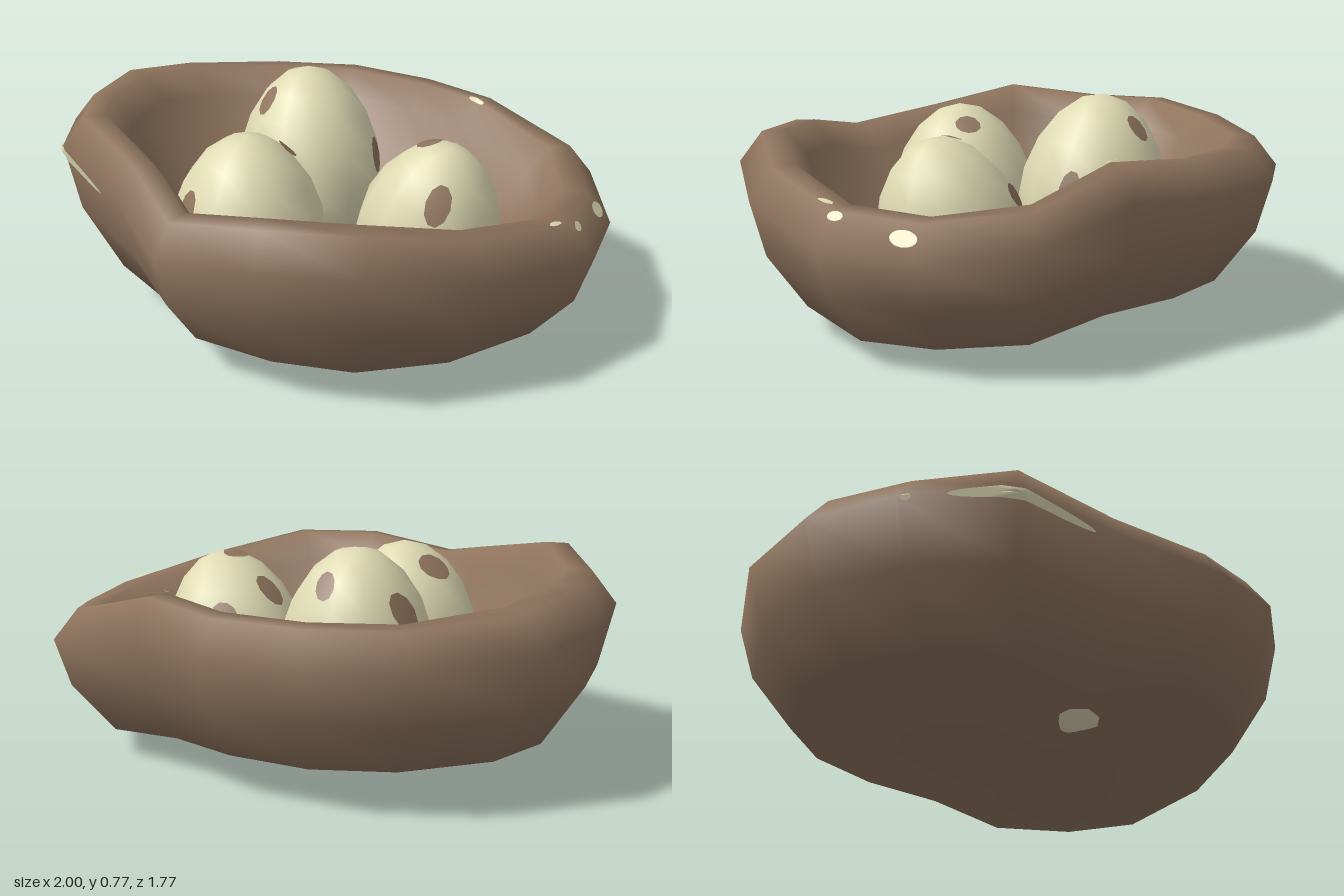
import * as THREE from 'three';
import { mergeVertices } from 'three/addons/utils/BufferGeometryUtils.js';

function paint(name, color) {
  const material = new THREE.MeshStandardMaterial({ color });
  material.name = name;
  return material;
}
const bark = paint('nest brown', 0x8f745d);
const shell = paint('egg cream', 0xdedab3);

// Nest outline seen from above: x, z and rim height
const OUTLINE = [
  [1.0, 0.09, 0.51], [0.79, 0.51, 0.58], [0.5, 0.79, 0.65], [0.18, 0.88, 0.65],
  [-0.18, 0.85, 0.6], [-0.46, 0.62, 0.66], [-0.8, 0.42, 0.72], [-0.97, 0.1, 0.68],
  [-1.0, -0.22, 0.68], [-0.89, -0.52, 0.64], [-0.59, -0.79, 0.61], [-0.26, -0.89, 0.61],
  [0.1, -0.85, 0.61], [0.43, -0.69, 0.625], [0.81, -0.56, 0.535], [0.97, -0.24, 0.495],
];
const N = OUTLINE.length;

// Cross-section rings: scale of the outline and height (x and rim height given)
const base = (x) => 0.14 - 0.07 * Math.max(0, x) ** 2;
const RINGS = [
  [0, () => 0],
  [0.8, base],
  [0.945, (x, rim) => (base(x) + rim - 0.11) / 2],
  [1, (x, rim) => rim - 0.11],
  [0.915, (x, rim) => rim - 0.005],
  [0.83, (x, rim) => rim],
  [0.75, (x, rim) => rim - 0.09],
  [0.64, () => 0.34],
  [0.43, () => 0.2],
  [0, () => 0.16],
];

function ringPoint(i, j) {
  const [x, z, rim] = OUTLINE[((i % N) + N) % N];
  const [s, height] = RINGS[j];
  return new THREE.Vector3(x * s, height(x, rim), z * s);
}

// Point on the nest faces at a fractional outline position u and ring v
function surfacePoint(u, v) {
  const i = Math.floor(u), j = Math.floor(v);
  const fu = u - i, fv = v - j;
  const a = ringPoint(i, j), d = ringPoint(i + 1, j + 1);
  const corner = fu > fv ? ringPoint(i + 1, j) : ringPoint(i, j + 1);
  const most = Math.max(fu, fv), least = Math.min(fu, fv);
  return a.multiplyScalar(1 - most).addScaledVector(corner, most - least).addScaledVector(d, least);
}

function makeNest() {
  const pos = [], index = [];
  RINGS.forEach((_, j) => {
    for (let i = 0; i < N; i++) pos.push(...ringPoint(i, j).toArray());
  });
  const last = RINGS.length - 2;
  for (let j = 0; j <= last; j++) {
    for (let i = 0; i < N; i++) {
      const k = (i + 1) % N;
      const a = j * N + i, b = j * N + k, c = a + N, d = b + N;
      if (j < last) index.push(a, c, d);
      else index.push(a, c, b);
      if (j > 0 && j < last) index.push(a, d, b);
    }
  }
  const geo = new THREE.BufferGeometry();
  geo.setAttribute('position', new THREE.Float32BufferAttribute(pos, 3));
  geo.setIndex(index);
  const merged = mergeVertices(geo);
  merged.computeVertexNormals();
  const mesh = new THREE.Mesh(merged, bark);
  mesh.name = 'nest';
  return mesh;
}

// Move every vertex by a rule and smooth the result
function reshape(geo, rule) {
  const p = geo.attributes.position;
  for (let n = 0; n < p.count; n++) {
    const q = rule(new THREE.Vector3().fromBufferAttribute(p, n));
    p.setXYZ(n, q.x, q.y, q.z);
  }
  geo.deleteAttribute('uv');
  geo.deleteAttribute('normal');
  const merged = mergeVertices(geo);
  merged.computeVertexNormals();
  return merged;
}

// Thin pale fleck lying on the nest surface
function makeFleck([u, v, du, dv, slant]) {
  const geo = reshape(new THREE.RingGeometry(0.01, 1, 20, 5), (p) => {
    const vv = v + p.y * dv + p.x * slant;
    const q = surfacePoint(u - p.x * du, vv);
    const out = new THREE.Vector3(q.x, 0, q.z).normalize();
    out.y = Math.max(0, vv - 3);
    return q.addScaledVector(out.normalize(), 0.009);
  });
  const mesh = new THREE.Mesh(geo, shell);
  mesh.name = 'fleck';
  return mesh;
}

// u, v, half width, half height, slant: a long streak, then small flecks by the rim
const FLECKS = [
  [5.93, 2.9, 0.66, 0.085, -0.06],
  [6.93, 2.97, 0.05, 0.05, 0],
  [13.0, 5.05, 0.11, 0.1, 0],
  [15.15, 3.57, 0.15, 0.2, 0],
  [15.93, 3.85, 0.08, 0.12, 0],
  [16.15, 4.2, 0.08, 0.15, 0.1],
];

// Egg with a narrower top and painted spots, each [dx, dz, size]
function makeEgg({ at, radius, half, tilt, spots }) {
  const egg = new THREE.Group();
  egg.name = 'egg';
  const shape = (d, grow) => {
    const w = radius * (1 - 0.12 * d.y) * grow;
    return d.set(d.x * w, d.y * half * grow, d.z * w);
  };
  const body = new THREE.Mesh(reshape(new THREE.SphereGeometry(1, 12, 9), (d) => shape(d, 1)), shell);
  body.name = 'eggShell';
  egg.add(body);

  const front = new THREE.Vector3(0, 0, 1);
  for (const [dx, dz, size] of spots) {
    const x = dx / radius, z = dz / radius;
    const c = new THREE.Vector3(x, Math.sqrt(Math.max(0.002, 1 - x * x - z * z)), z).normalize();
    const turn = new THREE.Quaternion().setFromUnitVectors(front, c);
    const spot = new THREE.Mesh(reshape(new THREE.CircleGeometry(size, 10), (d) =>
      shape(d.set(d.x * 0.85, d.y * 1.15, 1).applyQuaternion(turn).normalize(), 1.012)), bark);
    spot.name = 'eggSpot';
    egg.add(spot);
  }
  egg.position.set(...at);
  egg.rotation.set(tilt[0], 0, tilt[1]);
  return egg;
}

const EGGS = [
  { at: [-0.18, 0.42, -0.255], radius: 0.265, half: 0.35, tilt: [-0.09, 0.05],
    spots: [[-0.21, -0.09, 0.21], [0.05, -0.175, 0.16], [-0.1, 0.16, 0.17], [0.262, -0.03, 0.17]] },
  { at: [-0.16, 0.385, 0.275], radius: 0.265, half: 0.32, tilt: [0.03, -0.03],
    spots: [[-0.155, -0.085, 0.23], [0.115, -0.105, 0.17], [-0.122, 0.215, 0.18]] },
  { at: [0.395, 0.365, -0.012], radius: 0.25, half: 0.315, tilt: [0.1, -0.25],
    spots: [[-0.215, -0.07, 0.2], [-0.09, -0.03, 0.2], [0.055, 0.185, 0.22], [-0.09, -0.225, 0.17]] },
];

export function createModel() {
  const model = new THREE.Group();
  model.name = 'nestWithEggs';
  model.add(makeNest(), ...EGGS.map(makeEgg), ...FLECKS.map(makeFleck));
  return model;
}
